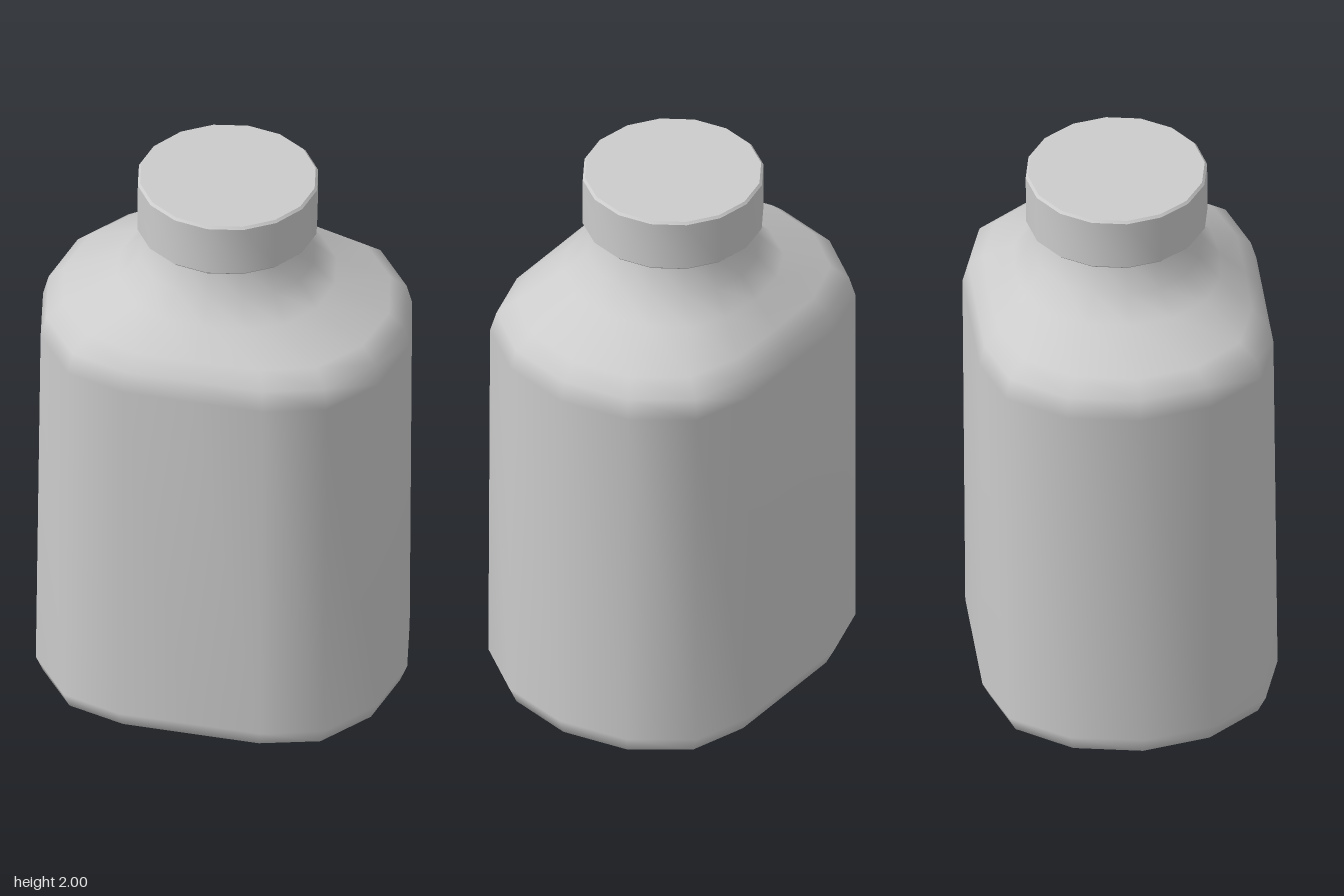
import * as THREE from 'three';
import { toCreasedNormals } from 'three/addons/utils/BufferGeometryUtils.js';

const SIDES = 16;
const material = new THREE.MeshStandardMaterial({ color: 0xcccccc });

// Body levels: height, half width, half depth, roundness (0 = flask, 1 = circle)
const LEVELS = [
  [0.006, 0.555, 0.41, 0], [0.035, 0.608, 0.468, 0], [0.095, 0.632, 0.496, 0],
  [1.41, 0.628, 0.494, 0], [1.48, 0.61, 0.475, 0], [1.53, 0.555, 0.43, 0.15],
  [1.615, 0.37, 0.345, 0.6], [1.69, 0.297, 0.287, 1], [1.8, 0.26, 0.257, 1], [1.84, 0.257, 0.255, 1],
];

// Depth factors of a quarter of the flask outline, from side to front
const FLASK_Z = [0, 0.49, 0.87, 1, 1];

function ringPoint(i, [y, w, d, round]) {
  const a = (i / SIDES) * Math.PI * 2;
  const s = Math.sin(a);
  const step = i % 8;
  const flask = FLASK_Z[step <= 4 ? step : 8 - step] * (i < 8 ? 1 : -1);
  return [Math.cos(a) * w, y, THREE.MathUtils.lerp(flask, s, round) * d];
}

function bodyGeometry() {
  const pos = [], index = [];
  for (const level of LEVELS)
    for (let i = 0; i < SIDES; i++) pos.push(...ringPoint(i, level));
  for (let j = 0; j < LEVELS.length - 1; j++)
    for (let i = 0; i < SIDES; i++) {
      const n = (i + 1) % SIDES;
      const a = j * SIDES + i, b = a + SIDES, c = (j + 1) * SIDES + n, d = j * SIDES + n;
      index.push(a, b, c, a, c, d);
    }
  // Flat base with its own vertices
  const base = pos.length / 3;
  for (let i = 0; i < SIDES; i++) pos.push(...ringPoint(i, LEVELS[0]));
  pos.push(0, LEVELS[0][0], 0);
  for (let i = 0; i < SIDES; i++) index.push(base + SIDES, base + i, base + (i + 1) % SIDES);

  const g = new THREE.BufferGeometry();
  g.setAttribute('position', new THREE.Float32BufferAttribute(pos, 3));
  g.setIndex(index);
  g.computeVertexNormals();
  return g;
}

function capGeometry() {
  const profile = [
    [0.24, 1.803], [0.297, 1.803], [0.305, 1.811], [0.305, 1.989], [0.297, 1.997], [0, 1.997],
  ].map(([r, y]) => new THREE.Vector2(r, y));
  return toCreasedNormals(new THREE.LatheGeometry(profile, SIDES), 0.7);
}

export function createModel() {
  const group = new THREE.Group();
  group.name = 'bottle';

  const body = new THREE.Mesh(bodyGeometry(), material);
  body.name = 'bottleBody';
  const cap = new THREE.Mesh(capGeometry(), material);
  cap.name = 'screwCap';

  // The bottle leans very slightly
  const lean = new THREE.Group();
  lean.name = 'leaningBottle';
  lean.add(body, cap);
  lean.rotation.set(-0.008, 0, -0.0075);
  lean.position.set(-0.005, 0, 0.006);
  group.add(lean);
  return group;
}
